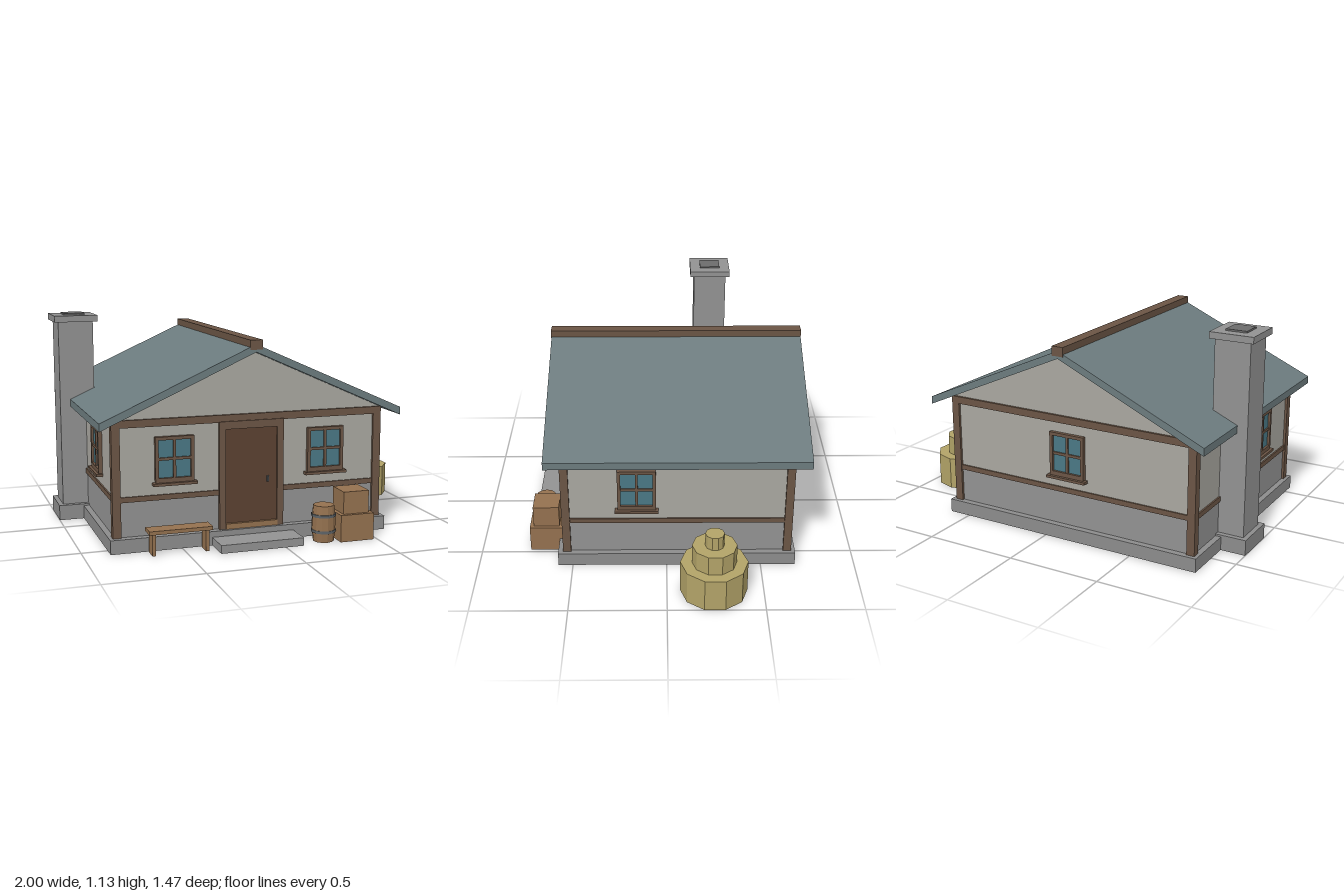
import * as THREE from 'three';

const paint = (color) => new THREE.MeshStandardMaterial({ color, flatShading: true });
const M = {
  wall: paint(0xa9a7a0), stone: paint(0x929292), base: paint(0x8c8c8c), flue: paint(0x6c6c6c),
  roof: paint(0x6c7b7e), beam: paint(0x6b5545), door: paint(0x5c4232), wood: paint(0x94714f),
  glass: paint(0x4a7885), hay: paint(0xb2a368), metal: paint(0x5c6266),
};

// House outline
const CX = -0.125, X0 = -0.848, X1 = 0.597, Z0 = -0.662, Z1 = 0.551;
const INSET = 0.013;
const WX0 = X0 + INSET, WX1 = X1 - INSET, WZ0 = Z0 + INSET, WZ1 = Z1 - INSET;

// Box given by its limits on each axis
function box(parent, name, mat, x0, x1, y0, y1, z0, z1) {
  const mesh = new THREE.Mesh(new THREE.BoxGeometry(x1 - x0, y1 - y0, z1 - z0), mat);
  mesh.position.set((x0 + x1) / 2, (y0 + y1) / 2, (z0 + z1) / 2);
  mesh.name = name;
  parent.add(mesh);
  return mesh;
}

// Profile in x and y, extruded along z
function prism(parent, name, mat, points, z0, z1) {
  const shape = new THREE.Shape(points.map(([x, y]) => new THREE.Vector2(x, y)));
  const geo = new THREE.ExtrudeGeometry(shape, { depth: z1 - z0, bevelEnabled: false });
  const mesh = new THREE.Mesh(geo, mat);
  mesh.position.z = z0;
  mesh.name = name;
  parent.add(mesh);
}

function group(parent, name, x = 0, y = 0, z = 0) {
  const g = new THREE.Group();
  g.name = name;
  g.position.set(x, y, z);
  parent.add(g);
  return g;
}

// Four-pane window facing +z, wall plane at local z = 0
function addWindow(parent, name, x, z, turn) {
  const g = group(parent, name, x, 0, z);
  g.rotation.y = turn;
  box(g, 'glass', M.glass, -0.09, 0.09, 0.35, 0.565, -0.01, 0.008);
  for (const s of [-1, 1]) box(g, 'frameSide', M.beam, s * 0.0915 - 0.0085, s * 0.0915 + 0.0085, 0.34, 0.572, -0.01, 0.021);
  box(g, 'frameTop', M.beam, -0.083, 0.083, 0.555, 0.572, -0.01, 0.021);
  box(g, 'frameBottom', M.beam, -0.083, 0.083, 0.34, 0.363, -0.01, 0.021);
  box(g, 'uprightBar', M.beam, -0.007, 0.007, 0.363, 0.555, -0.01, 0.016);
  box(g, 'crossBar', M.beam, -0.083, 0.083, 0.452, 0.466, -0.01, 0.016);
  box(g, 'sill', M.beam, -0.114, 0.114, 0.326, 0.34, -0.01, 0.036);
}

function addWalls(house) {
  box(house, 'foundation', M.base, -0.866, 0.619, 0, 0.072, -0.683, 0.577);
  box(house, 'lowerWall', M.stone, WX0, WX1, 0.07, 0.26, WZ0, WZ1);
  box(house, 'upperWall', M.wall, WX0, WX1, 0.26, 0.65, WZ0, WZ1);
  prism(house, 'gable', M.wall, [[WX0, 0.64], [WX1, 0.64], [WX1, 0.667], [CX, 0.985], [WX0, 0.667]], WZ0, WZ1);

  // Corner posts
  const w = 0.043;
  for (const x of [X0, X1 - w]) for (const z of [Z0, Z1 - w]) {
    box(house, 'cornerPost', M.beam, x, x + w, 0.072, 0.64, z, z + w);
  }
  // Horizontal beams; the lower front one stops at the door
  for (const [a, b, out] of [[0.25, 0.277, 0.008], [0.625, 0.663, 0.013]]) {
    const low = a < 0.5;
    const spans = low ? [[WX0, -0.28], [0.03, WX1]] : [[X0, X1]];
    for (const [p, q] of spans) box(house, 'frontBeam', M.beam, p, q, a, b, WZ1 - 0.02, WZ1 + out);
    box(house, 'backBeam', M.beam, low ? WX0 : X0, low ? WX1 : X1, a, b, WZ0 - out, WZ0 + 0.02);
    const top = Math.min(b, 0.656);
    box(house, 'leftBeam', M.beam, WX1 - 0.02, WX1 + out, a, top, WZ0, WZ1);
    box(house, 'rightBeam', M.beam, WX0 - out, WX0 + 0.02, a, top, WZ0, WZ1);
  }
}

function addRoof(house) {
  const L = -0.92, R = 0.672;
  prism(house, 'roof', M.roof, [
    [L, 0.627], [CX, 0.983], [R, 0.627], [R, 0.667], [CX, 1.022], [L, 0.667],
  ], -0.737, 0.625);
  box(house, 'ridgeBeam', M.beam, CX - 0.032, CX + 0.032, 0.995, 1.044, -0.738, 0.627);
}

function addDoor(house) {
  const g = group(house, 'entrance');
  box(g, 'door', M.door, -0.262, 0.016, 0.1, 0.592, 0.5, 0.546);
  for (const x of [-0.297, 0.014]) box(g, 'doorPost', M.beam, x, x + 0.034, 0.072, 0.625, 0.5, 0.558);
  box(g, 'lintel', M.beam, -0.297, 0.048, 0.59, 0.63, 0.5, 0.558);
  box(g, 'threshold', M.wood, -0.263, 0.014, 0.07, 0.1, 0.5, 0.562);
  box(g, 'handle', M.metal, -0.041, -0.031, 0.305, 0.335, 0.54, 0.558);
  box(g, 'step', M.stone, -0.343, 0.096, 0, 0.042, 0.56, 0.73);
}

function addChimney(house) {
  const g = group(house, 'chimney', -0.881, 0, -0.268);
  const layers = [
    ['chimneyBase', M.base, 0.119, 0.122, 0, 0.082],
    ['chimneyShaft', M.stone, 0.094, 0.094, 0.08, 1.092],
    ['chimneyCap', M.stone, 0.116, 0.117, 1.09, 1.124],
    ['flue', M.flue, 0.056, 0.058, 1.12, 1.133],
  ];
  for (const [name, mat, w, d, a, b] of layers) box(g, name, mat, -w, w, a, b, -d, d);
}

function addBench(yard) {
  const g = group(yard, 'bench', -0.53, 0, 0.628);
  box(g, 'benchSeat', M.wood, -0.162, 0.162, 0.109, 0.128, -0.045, 0.045);
  for (const x of [-0.137, 0.137]) box(g, 'benchLeg', M.wood, x - 0.009, x + 0.009, 0, 0.11, -0.036, 0.036);
}

function addBarrel(yard) {
  const g = group(yard, 'barrel', 0.228, 0, 0.668);
  const profile = [[0, 0], [0.054, 0], [0.061, 0.06], [0.061, 0.13], [0.054, 0.19], [0, 0.19]];
  const body = new THREE.Mesh(
    new THREE.LatheGeometry(profile.map(([x, y]) => new THREE.Vector2(x, y)), 12), M.wood);
  body.name = 'barrelBody';
  g.add(body);
  for (const y of [0.055, 0.138]) {
    const hoop = new THREE.Mesh(new THREE.CylinderGeometry(0.064, 0.064, 0.014, 12), M.metal);
    hoop.position.y = y;
    hoop.name = 'barrelHoop';
    g.add(hoop);
  }
}

function addHaystack(yard) {
  const g = group(yard, 'haystack', 0.833, 0, -0.241);
  for (const [r, a, b] of [[0.174, 0, 0.177], [0.115, 0.177, 0.281], [0.049, 0.281, 0.353]]) {
    const tier = new THREE.Mesh(new THREE.CylinderGeometry(r, r, b - a, 10), M.hay);
    tier.position.y = (a + b) / 2;
    tier.name = 'hayTier';
    g.add(tier);
  }
}

export function createModel() {
  const model = new THREE.Group();
  model.name = 'cottage';
  const house = group(model, 'house');
  addWalls(house);
  addRoof(house);
  addDoor(house);
  addChimney(house);
  addWindow(house, 'frontWindowRight', -0.529, WZ1, 0);
  addWindow(house, 'frontWindowLeft', 0.281, WZ1, 0);
  addWindow(house, 'backWindow', CX, WZ0, Math.PI);
  addWindow(house, 'leftWindow', WX1, 0.156, Math.PI / 2);
  addWindow(house, 'rightWindow', WX0, 0.156, -Math.PI / 2);

  // Things standing around the house
  const yard = group(model, 'yard');
  addBench(yard);
  addBarrel(yard);
  box(yard, 'largeCrate', M.wood, 0.297, 0.48, 0, 0.141, 0.553, 0.737);
  box(yard, 'smallCrate', M.wood, 0.318, 0.458, 0.141, 0.258, 0.578, 0.717);
  addHaystack(yard);
  return model;
}
